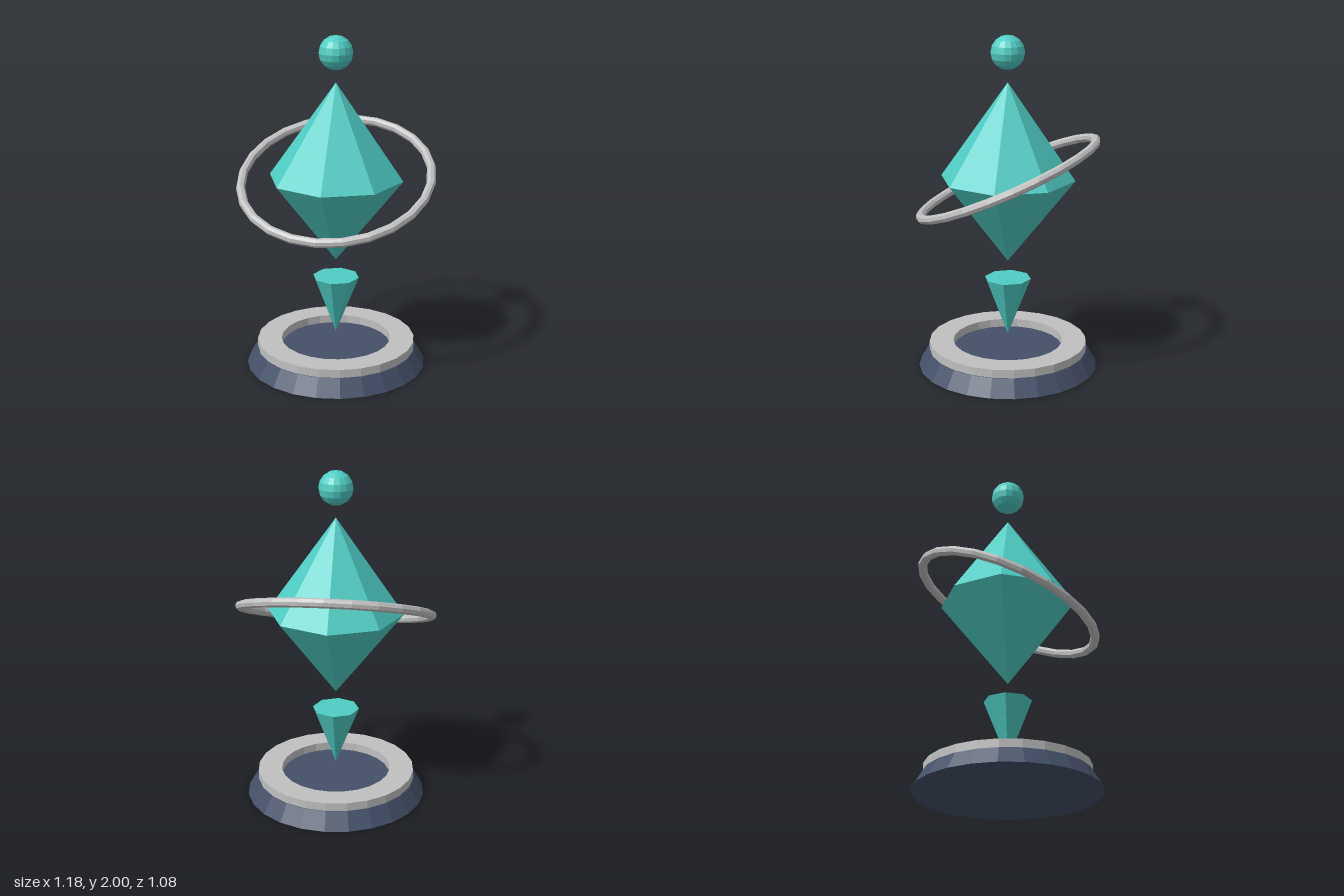
import * as THREE from 'three';

const flat = (name, color) => {
  const m = new THREE.MeshStandardMaterial({ color, flatShading: true });
  m.name = name;
  return m;
};

export function createModel() {
  const model = new THREE.Group();
  model.name = 'floatingCrystal';
  const teal = flat('teal', 0x4ecdc4);
  const silver = flat('silver', 0xc0c0c0);
  const navy = flat('navy', 0x445068);

  const add = (name, geometry, material, y) => {
    const mesh = new THREE.Mesh(geometry, material);
    mesh.name = name;
    mesh.position.y = y;
    model.add(mesh);
    return mesh;
  };
  const lathe = (points, sides) =>
    new THREE.LatheGeometry(points.map(([r, y]) => new THREE.Vector2(r, y)), sides);

  // Tapered foot
  add('base', new THREE.CylinderGeometry(0.48, 0.54, 0.1, 24), navy, 0.05);

  // Flat collar with an open middle, resting on the foot
  add('baseCollar', lathe([[0.475, 0], [0.475, 0.05], [0.33, 0.05], [0.33, 0]], 24), silver, 0.1);

  // Small inverted spike hovering over the foot
  add('spike', new THREE.CylinderGeometry(0.14, 0, 0.36, 8), teal, 0.365);

  // Eight-sided double pyramid
  add('crystal', lathe([[0, -0.51], [0.4, 0], [0, 0.567]], 8), teal, 1.161);

  // Orbiting ring, tipped down at the front
  const ring = new THREE.TorusGeometry(0.562, 0.027, 8, 24).rotateX(Math.PI / 2);
  add('orbitRing', ring, silver, 1.162).rotation.x = 0.42;

  // Ball floating at the top
  add('topBall', new THREE.SphereGeometry(0.1, 16, 8), teal, 1.9);

  return model;
}
